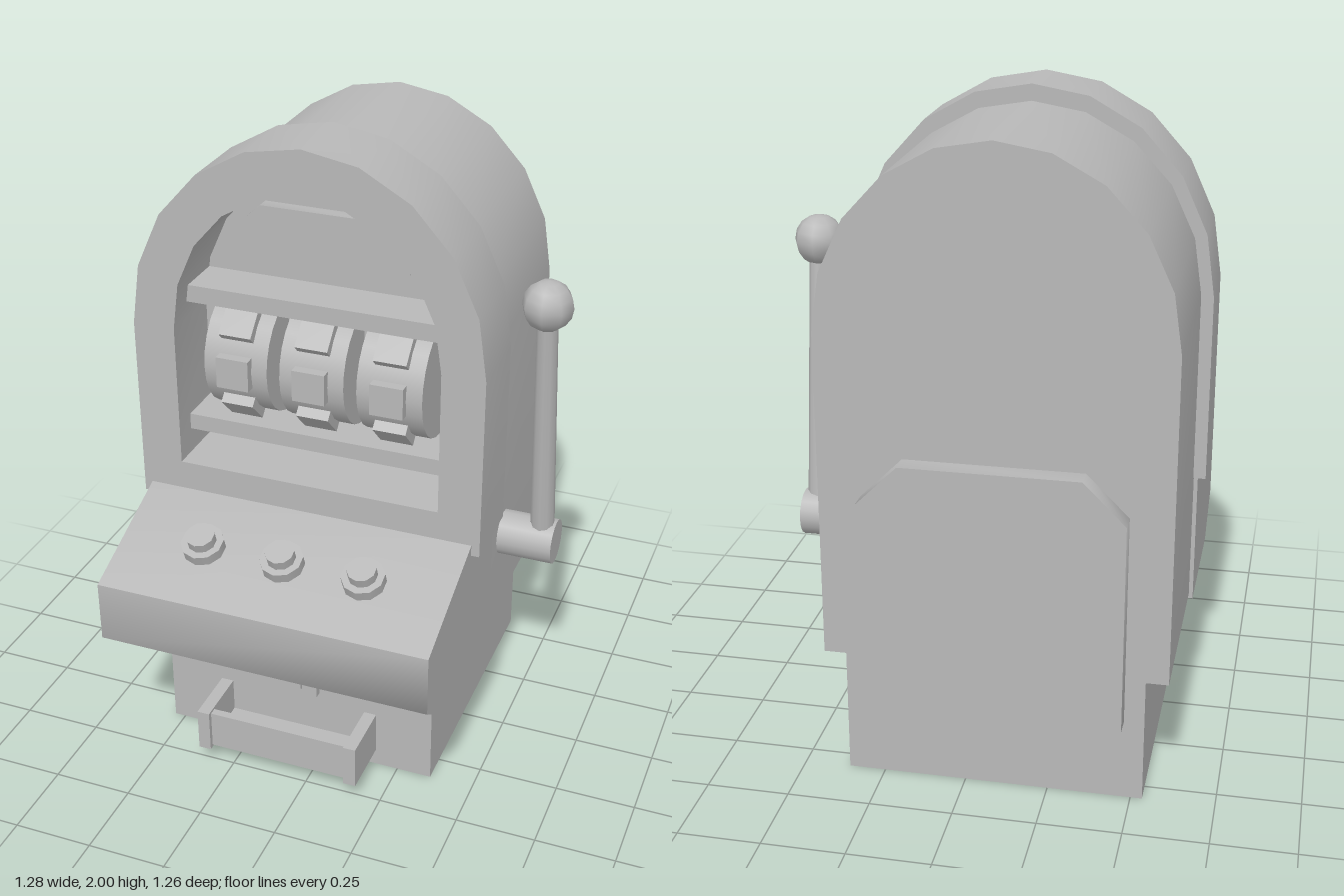
import * as THREE from 'three';
import { toCreasedNormals } from 'three/addons/utils/BufferGeometryUtils.js';

const CX = -0.087; // centre line of the cabinet

export function createModel() {
  const group = new THREE.Group();
  const grey = new THREE.MeshStandardMaterial({ color: 0xb8b8b8 });
  grey.name = 'plain grey';

  const add = (name, geometry, x = 0, y = 0, z = 0, parent = group) => {
    const mesh = new THREE.Mesh(geometry, grey);
    mesh.name = name;
    mesh.position.set(x, y, z);
    parent.add(mesh);
    return mesh;
  };

  // Box given by its limits on each axis
  const box = (name, x0, x1, y0, y1, z0, z1) =>
    add(name, new THREE.BoxGeometry(x1 - x0, y1 - y0, z1 - z0), (x0 + x1) / 2, (y0 + y1) / 2, (z0 + z1) / 2);

  // Flat outline pushed out along z, softened over shallow corners
  const toPoints = (list) => list.map(([x, y]) => new THREE.Vector2(x, y));
  const prism = (outline, depth, hole) => {
    const shape = new THREE.Shape(toPoints(outline));
    if (hole) shape.holes.push(new THREE.Path(toPoints(hole)));
    return toCreasedNormals(new THREE.ExtrudeGeometry(shape, { depth, bevelEnabled: false }), 1);
  };

  // Upright sides closed by a ten-sided half ellipse
  const arch = (rx, ry, springY, bottom) => {
    const points = [[-rx, bottom], [rx, bottom]];
    for (let i = 0; i <= 10; i++) {
      const a = (i / 10) * Math.PI;
      points.push([rx * Math.cos(a), springY + ry * Math.sin(a)]);
    }
    return points;
  };

  // Rectangle with cut corners
  const cutRect = (w, h, top, bottom) => [
    [-w + bottom, -h], [w - bottom, -h], [w, -h + bottom], [w, h - top],
    [w - top, h], [-w + top, h], [-w, h - top], [-w, -h + bottom],
  ].filter((p, i, all) => i === 0 || p[0] !== all[i - 1][0] || p[1] !== all[i - 1][1]);

  // Cabinet
  box('base', -0.535, 0.361, 0, 0.39, -0.565, 0.34);
  add('body', prism(arch(0.515, 0.56, 1.39, 0.39), 0.585), CX, 0, -0.565);
  add('frontFrame', prism(arch(0.553, 0.615, 1.385, 0.8), 0.245, arch(0.42, 0.475, 1.385, 0.928)), CX, 0, 0);
  add('backDoor', prism(cutRect(0.388, 0.45, 0.125, 0.125), 0.073), CX, 0.58, -0.628);

  // Sloping console: side profile (z, y) pushed across the width
  const profile = [[0.02, 0.375], [0.47, 0.375], [0.63, 0.49], [0.63, 0.685], [0.245, 0.835], [0.02, 0.835]];
  const consoleGeometry = prism(profile.map(([z, y]) => [-z, y]), 1.055);
  consoleGeometry.rotateY(Math.PI / 2);
  add('console', consoleGeometry, CX - 0.5275, 0, 0);

  // Window contents
  add('signPlate', prism([[-0.26, -0.075], [0.26, -0.075], [0.26, 0.03], [0.21, 0.075], [-0.21, 0.075], [-0.26, 0.03]], 0.04), CX, 1.665, 0.02);
  box('upperShelf', CX - 0.43, CX + 0.43, 1.445, 1.5, 0.01, 0.17);
  box('lowerShelf', CX - 0.43, CX + 0.43, 1.008, 1.06, 0.01, 0.17);

  // Reels with raised symbol plates
  for (const i of [-1, 0, 1]) {
    const reel = new THREE.Group();
    reel.name = 'reel';
    reel.position.set(CX + i * 0.246, 1.252, 0.01);
    group.add(reel);
    add('reelDrum', new THREE.CylinderGeometry(0.187, 0.187, 0.205, 24).rotateZ(Math.PI / 2), 0, 0, 0, reel);
    for (const a of [-Math.PI / 4, 0, Math.PI / 4]) {
      const plate = add('reelPlate', new THREE.BoxGeometry(0.104, 0.1, 0.04), 0, 0.192 * Math.sin(a), 0.192 * Math.cos(a), reel);
      plate.rotation.x = -a;
    }
  }

  // Push buttons standing square to the console slope
  for (const i of [-1, 0, 1]) {
    const button = new THREE.Group();
    button.name = 'button';
    button.position.set(CX + i * 0.26, 0.761, 0.435);
    button.rotation.x = Math.atan2(0.15, 0.385);
    group.add(button);
    add('buttonCollar', new THREE.CylinderGeometry(0.067, 0.067, 0.05, 10), 0, 0.01, 0, button);
    add('buttonCap', new THREE.CylinderGeometry(0.045, 0.045, 0.05, 10), 0, 0.042, 0, button);
  }

  // Pull lever on the model's left side
  const pivot = new THREE.Vector3(0.558, 0.65, -0.148);
  const knob = new THREE.Vector3(0.558, 1.512, -0.047);
  add('leverPivot', new THREE.CylinderGeometry(0.073, 0.073, 0.204, 16).rotateZ(Math.PI / 2), 0.502, pivot.y, pivot.z);
  const rod = add('leverRod', new THREE.CylinderGeometry(0.031, 0.039, pivot.distanceTo(knob), 10));
  rod.position.copy(pivot).lerp(knob, 0.5);
  rod.rotation.x = Math.atan2(knob.z - pivot.z, knob.y - pivot.y);
  add('leverKnob', new THREE.SphereGeometry(0.078, 8, 8), knob.x, knob.y, knob.z);

  // Coin slot
  box('coinPlate', -0.16, -0.015, 0.23, 0.355, 0.33, 0.365);
  box('coinSlot', -0.111, -0.064, 0.255, 0.334, 0.35, 0.376);

  // Payout tray
  for (const s of [-1, 1]) {
    const x = -0.09 + s * 0.247;
    box('traySide', x - 0.02, x + 0.02, 0.055, 0.196, 0.33, 0.525);
  }
  box('trayFront', -0.33, 0.15, 0.063, 0.188, 0.485, 0.51);
  box('trayFloor', -0.33, 0.15, 0.063, 0.085, 0.33, 0.5);

  return group;
}
